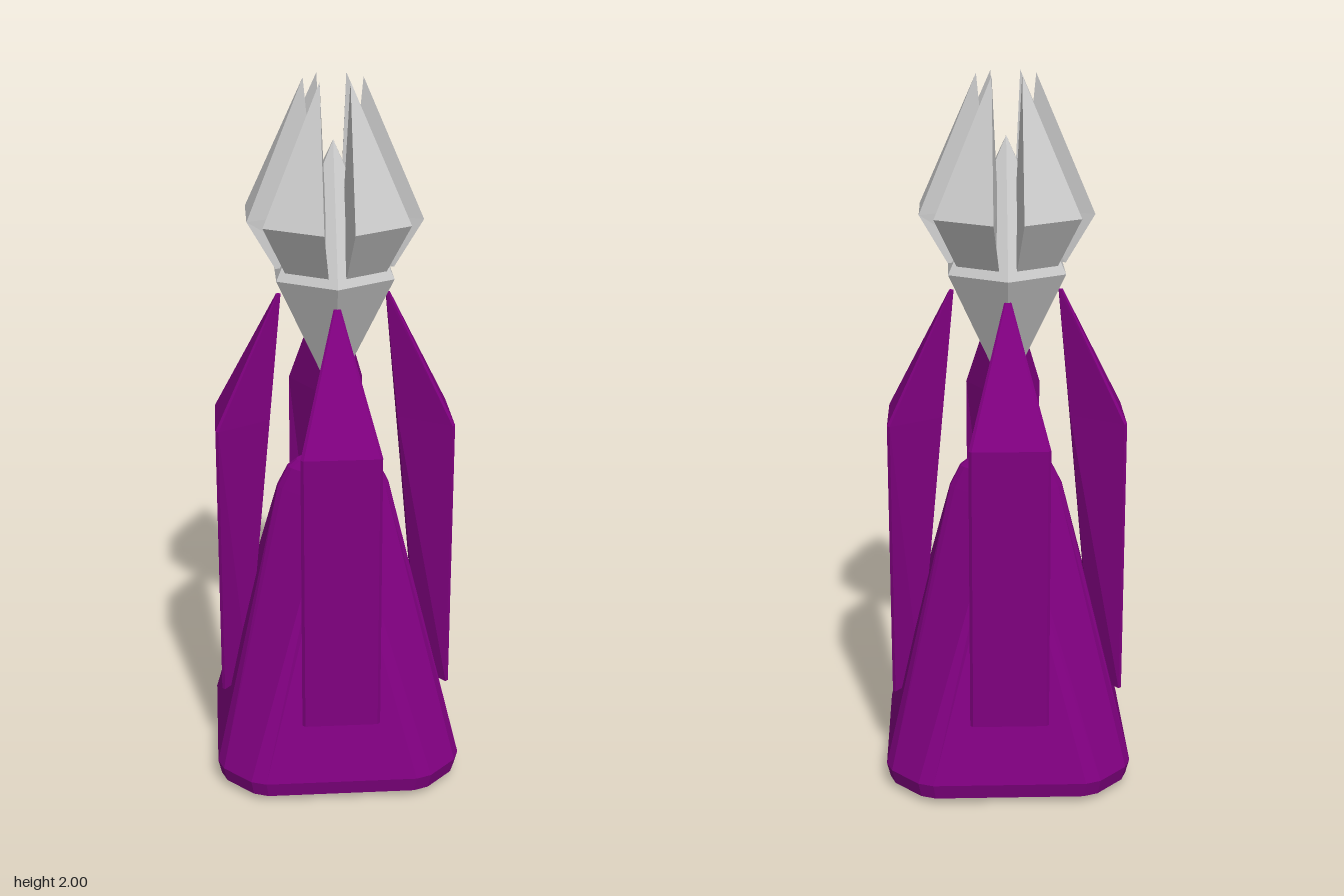
import * as THREE from 'three';

// Flat-shaded solid through a stack of closed rings (bottom to top, each turning from +x to +z)
function loft(rings) {
  const pos = [];
  const tri = (a, b, c) => {
    const area = b.clone().sub(a).cross(c.clone().sub(a)).length();
    if (area > 1e-8) pos.push(...a.toArray(), ...b.toArray(), ...c.toArray());
  };
  const n = rings[0].length;
  for (let r = 0; r < rings.length - 1; r++) {
    const lo = rings[r], up = rings[r + 1];
    for (let i = 0; i < n; i++) {
      const j = (i + 1) % n;
      tri(lo[i], up[i], up[j]);
      tri(lo[i], up[j], lo[j]);
    }
  }
  const first = rings[0], last = rings[rings.length - 1];
  for (let i = 1; i < n - 1; i++) {
    tri(first[0], first[i], first[i + 1]);
    tri(last[0], last[i + 1], last[i]);
  }
  const g = new THREE.BufferGeometry();
  g.setAttribute('position', new THREE.Float32BufferAttribute(pos, 3));
  g.computeVertexNormals();
  return g;
}

const ringAt = (y, pts) => pts.map(([x, z]) => new THREE.Vector3(x, y, z));

// Four-fold pedestal section: one quarter's points repeated around the axis
const SQUARE = [[1, 0.614], [0.955, 0.735], [0.735, 0.955], [0.614, 1]];
const DIAMOND = [[1, 0.07], [0.92, 0.18], [0.18, 0.92], [0.07, 1]];
function quarterRing(y, half, quarter) {
  const pts = [];
  for (let k = 0; k < 4; k++) {
    const c = [1, 0, -1, 0][k], s = [0, 1, 0, -1][k];
    for (const [x, z] of quarter) pts.push([(x * c - z * s) * half, (x * s + z * c) * half]);
  }
  return ringAt(y, pts);
}

// Bevelled wedge section of a fin that points along +x
function finRing(y, outer, inner, halfWidth, innerWidth, bevel) {
  return ringAt(y, [
    [outer, -halfWidth + bevel], [outer, halfWidth - bevel],
    [outer - bevel, halfWidth], [inner, innerWidth],
    [inner, -innerWidth], [outer - bevel, -halfWidth],
  ]);
}

const shardRing = (y, outer, halfWidth, inner) =>
  ringAt(y, [[outer, -halfWidth], [outer, halfWidth], [inner, 0]]);

function hexRing(y, radius) {
  const pts = [];
  for (let i = 0; i < 6; i++) {
    const a = Math.PI / 6 + (i * Math.PI) / 3;
    pts.push([radius * Math.cos(a), radius * Math.sin(a)]);
  }
  return ringAt(y, pts);
}

export function createModel() {
  const model = new THREE.Group();
  const purple = new THREE.MeshStandardMaterial({ color: 0x800080, flatShading: true });
  const grey = new THREE.MeshStandardMaterial({ color: 0xcccccc, flatShading: true });

  const add = (parent, name, geometry, material, angle = 0) => {
    const mesh = new THREE.Mesh(geometry, material);
    mesh.name = name;
    mesh.rotation.y = angle;
    parent.add(mesh);
  };

  // Pedestal twisting from a rounded square foot to a small diamond top
  add(model, 'pedestal', loft([
    quarterRing(0, 0.305, SQUARE),
    quarterRing(0.02, 0.34, SQUARE),
    quarterRing(0.065, 0.35, SQUARE),
    quarterRing(0.84, 0.16, DIAMOND),
    quarterRing(0.9, 0.13, DIAMOND),
    quarterRing(0.92, 0.105, DIAMOND),
  ]), purple);

  // Four pointed fins holding the crystal
  const fins = new THREE.Group();
  fins.name = 'fins';
  const finGeometry = loft([
    finRing(0.24, 0.333, 0.256, 0.11, 0.025, 0.008),
    finRing(1.05, 0.333, 0.18, 0.11, 0.025, 0.008),
    finRing(1.41, 0.157, 0.145, 0.01, 0.006, 0.004),
  ]);
  for (let i = 0; i < 4; i++) add(fins, 'fin', finGeometry, purple, (i * Math.PI) / 2);
  model.add(fins);

  // Six-sided crystal core, pointed at both ends
  const crystal = new THREE.Group();
  crystal.name = 'crystal';
  add(crystal, 'crystalCore', loft([hexRing(1.105, 0), hexRing(1.473, 0.184), hexRing(1.835, 0)]), grey);

  // Six shards around the core
  const shardGeometry = loft([
    shardRing(1.5, 0.16, 0.065, 0.045),
    shardRing(1.637, 0.236, 0.09, 0.045),
    shardRing(2, 0.08, 0, 0.08),
  ]);
  for (let i = 0; i < 6; i++) add(crystal, 'crystalShard', shardGeometry, grey, (i * Math.PI) / 3);
  model.add(crystal);

  return model;
}
